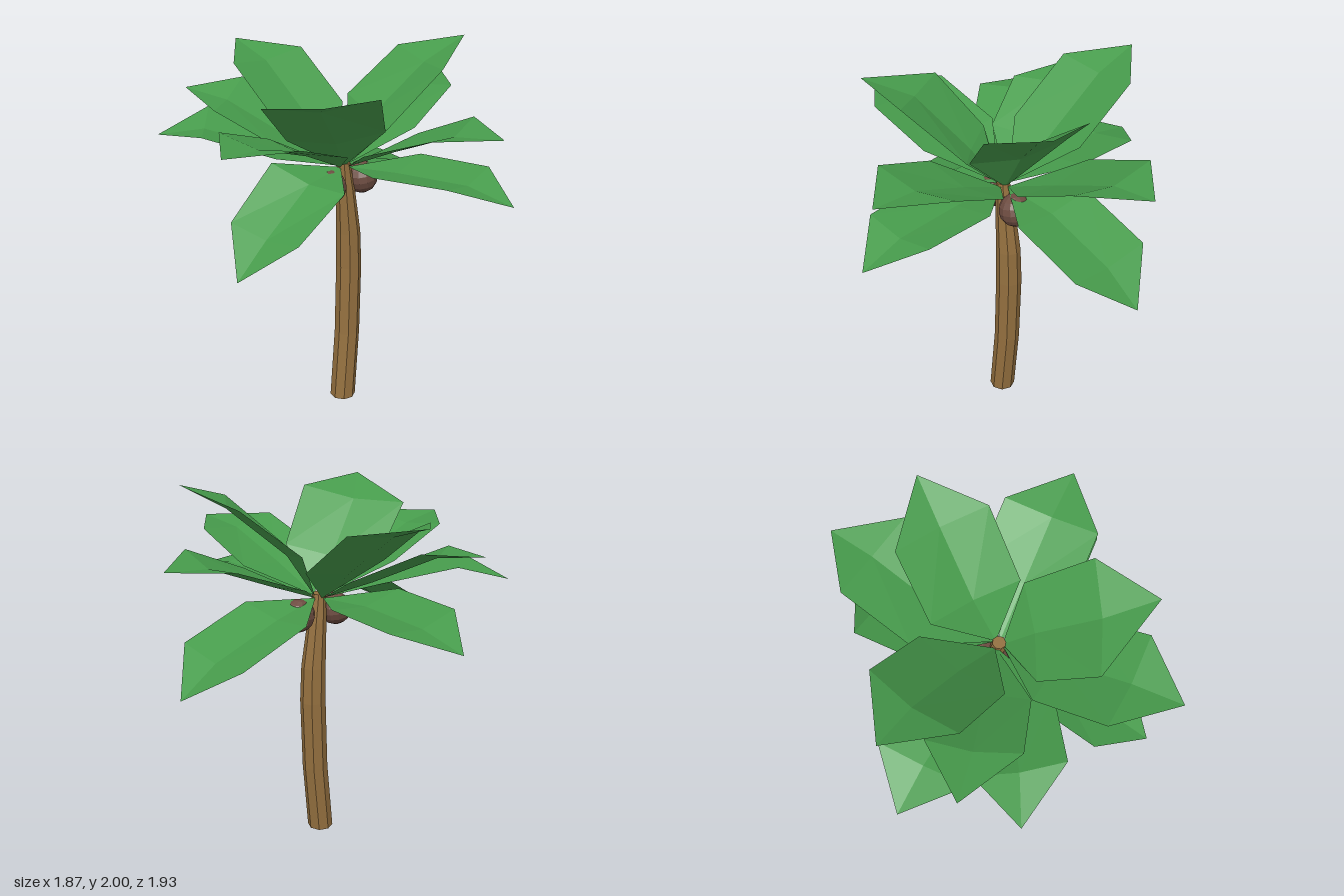
import * as THREE from 'three';

const leafGreen = new THREE.MeshStandardMaterial({ name: 'leafGreen', color: 0x479c4c, flatShading: true, side: THREE.DoubleSide });
const barkBrown = new THREE.MeshStandardMaterial({ name: 'barkBrown', color: 0x94703f, flatShading: true });
const nutBrown = new THREE.MeshStandardMaterial({ name: 'nutBrown', color: 0x6d4c41, flatShading: true });

// Trunk rings: [centre x, y, radius]
const TRUNK = [[-0.01, 0, 0.07], [0.028, 0.4, 0.069], [0.042, 0.8, 0.069], [0.037, 1.0, 0.065], [0.012, 1.25, 0.05], [-0.004, 1.4, 0.035]];

// Leaves: inner edge pair, outer edge pair, tip
const UPPER = [
  [[-0.2, 1.6, -0.27], [0.29, 1.62, -0.24], [-0.17, 1.86, -0.6], [0.32, 1.87, -0.56], [0.09, 1.92, -0.84]],
  [[0.26, 1.68, -0.18], [0.03, 1.62, 0.26], [0.52, 1.92, -0.04], [0.29, 1.89, 0.4], [0.62, 2.0, 0.31]],
  [[0.01, 1.61, 0.26], [-0.29, 1.56, -0.13], [-0.26, 1.86, 0.43], [-0.56, 1.8, -0.04], [-0.62, 1.89, 0.39]],
];
const MIDDLE = [
  [[0.32, 1.55, -0.28], [0.32, 1.55, 0.22], [0.7, 1.71, -0.27], [0.66, 1.71, 0.22], [0.93, 1.7, -0.02]],
  [[-0.3, 1.56, 0.27], [-0.32, 1.56, -0.22], [-0.65, 1.69, 0.3], [-0.69, 1.69, -0.19], [-0.94, 1.68, 0.08]],
  [[0.28, 1.54, 0.27], [-0.22, 1.55, 0.3], [0.31, 1.68, 0.58], [-0.18, 1.68, 0.64], [0.09, 1.67, 0.88]],
  [[-0.31, 1.53, -0.21], [0.1, 1.56, -0.34], [-0.43, 1.68, -0.49], [-0.03, 1.75, -0.68], [-0.3, 1.72, -0.84]],
  [[-0.38, 1.49, -0.12], [-0.03, 1.53, -0.38], [-0.61, 1.6, -0.4], [-0.28, 1.64, -0.69], [-0.58, 1.54, -0.76]],
];
const LOWER = [
  [[0.32, 1.37, -0.28], [0.32, 1.37, 0.21], [0.7, 1.235, -0.28], [0.7, 1.24, 0.21], [0.89, 1.06, -0.03]],
  [[-0.3, 1.37, 0.25], [-0.33, 1.44, -0.2], [-0.64, 1.21, 0.25], [-0.66, 1.23, -0.17], [-0.86, 1.05, 0.06]],
  [[0.24, 1.45, 0.32], [-0.21, 1.45, 0.35], [0.26, 1.46, 0.71], [-0.15, 1.46, 0.73], [0.08, 1.36, 0.96]],
  [[-0.26, 1.45, -0.32], [0.22, 1.45, -0.35], [-0.26, 1.44, -0.7], [0.22, 1.44, -0.74], [-0.03, 1.34, -0.97]],
];

// Octagonal bent trunk: shift and scale each cylinder ring
function trunkGeometry() {
  const last = TRUNK.length - 1;
  const geo = new THREE.CylinderGeometry(1, 1, last, 8, last);
  const p = geo.attributes.position;
  for (let i = 0; i < p.count; i++) {
    const [cx, y, r] = TRUNK[Math.round(p.getY(i) + last / 2)];
    p.setXYZ(i, cx + p.getX(i) * r, y, 0.004 + p.getZ(i) * r);
  }
  geo.computeVertexNormals();
  return geo;
}

// Pointed leaf, folded along a sunken midrib
function leafGeometry(points) {
  const [l1, r1, l2, r2, tip] = points.map((q) => new THREE.Vector3(...q));
  const base = new THREE.Vector3(0, 1.38, 0).addScaledVector(tip.clone().setY(0), 0.03);
  const normal = tip.clone().sub(base).cross(r2.clone().sub(l2)).normalize();
  if (normal.y < 0) normal.negate();
  const rib = (a, b) => a.clone().lerp(b, 0.5).addScaledVector(normal, -0.04);
  const m1 = rib(l1, r1), m2 = rib(l2, r2);
  const tris = [
    base, m1, l1, base, r1, m1,
    l1, m1, m2, l1, m2, l2,
    m1, r1, r2, m1, r2, m2,
    l2, m2, tip, m2, r2, tip,
  ];
  // Keep every upper face wound upwards
  const a = tris[1].clone().sub(tris[0]).cross(tris[2].clone().sub(tris[0]));
  if (a.dot(normal) < 0) tris.reverse();
  const geo = new THREE.BufferGeometry().setFromPoints(tris);
  geo.computeVertexNormals();
  return geo;
}

export function createModel() {
  const model = new THREE.Group();
  model.name = 'palmTree';
  const add = (parent, name, geo, mat) => {
    const mesh = new THREE.Mesh(geo, mat);
    mesh.name = name;
    parent.add(mesh);
    return mesh;
  };

  add(model, 'trunk', trunkGeometry(), barkBrown);

  // Three tiers of leaves
  for (const [name, tier] of [['upperLeaf', UPPER], ['middleLeaf', MIDDLE], ['lowerLeaf', LOWER]]) {
    const group = new THREE.Group();
    group.name = name + 'Tier';
    tier.forEach((pts, i) => add(group, name + (i + 1), leafGeometry(pts), leafGreen));
    model.add(group);
  }

  // Coconuts either side of the trunk top
  for (const [name, x, z] of [['leftCoconut', 0.115, 0.03], ['rightCoconut', -0.11, 0]]) {
    const nut = add(model, name, new THREE.SphereGeometry(0.087, 12, 8), nutBrown);
    nut.position.set(x, 1.295, z);
    nut.rotation.z = x > 0 ? 0.2 : -0.2;
  }
  return model;
}
